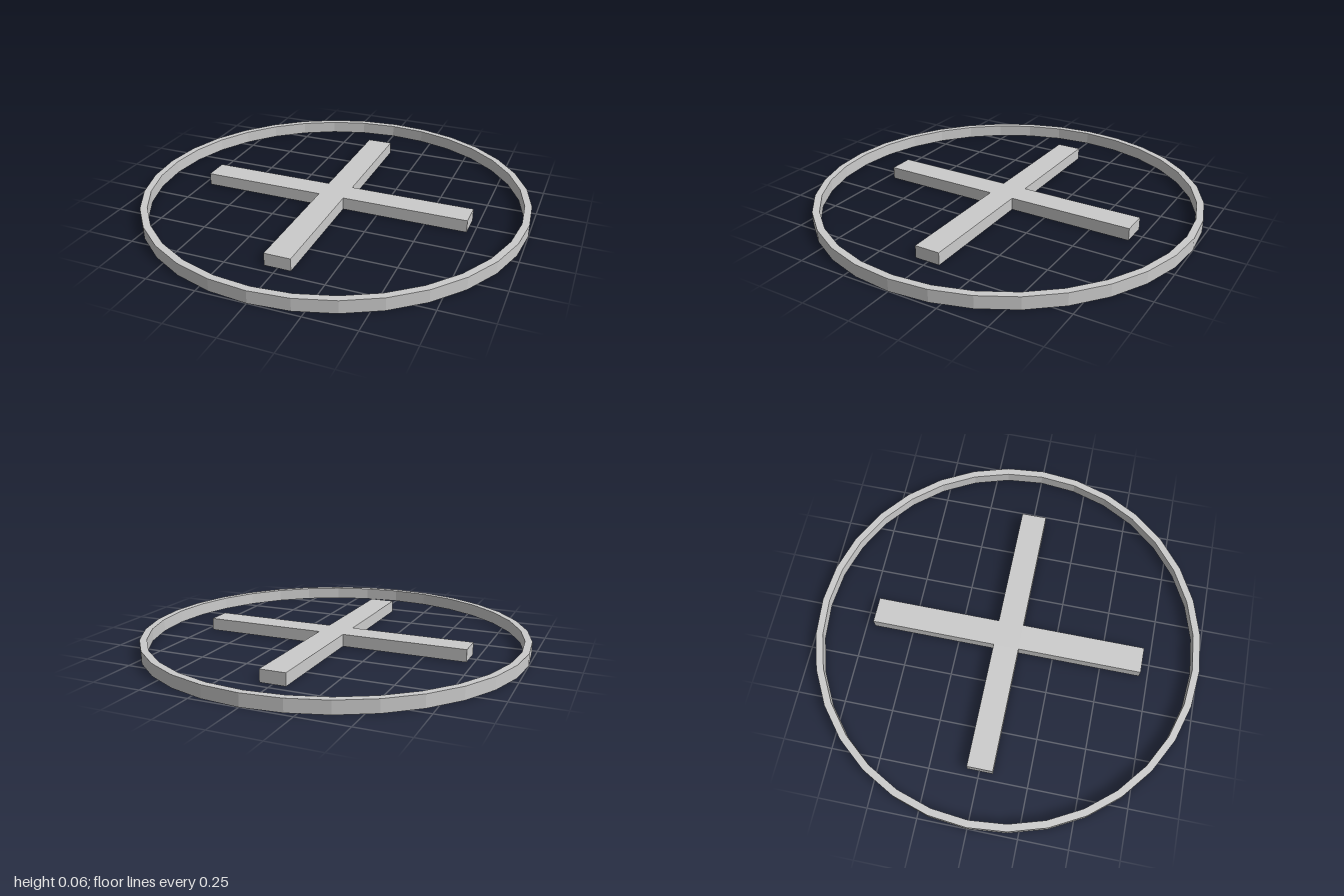
import * as THREE from 'three';

const HEIGHT = 0.064;
const material = new THREE.MeshStandardMaterial({ color: 0xcccccc, flatShading: true });

// Regular polygon outline with a corner on each axis
function polygon(radius, sides) {
  return Array.from({ length: sides }, (_, i) => {
    const a = (i / sides) * Math.PI * 2;
    return new THREE.Vector2(Math.cos(a) * radius, Math.sin(a) * radius);
  });
}

// Flat plate lying on the ground, extruded upward
function plate(name, shape) {
  const geometry = new THREE.ExtrudeGeometry(shape, { depth: HEIGHT, bevelEnabled: false });
  geometry.rotateX(-Math.PI / 2);
  const mesh = new THREE.Mesh(geometry, material);
  mesh.name = name;
  return mesh;
}

export function createModel() {
  const model = new THREE.Group();
  model.name = 'ringAndCross';

  // Thin 32-sided outer ring
  const ringShape = new THREE.Shape(polygon(1, 32));
  ringShape.holes.push(new THREE.Path(polygon(0.964, 32)));
  model.add(plate('outerRing', ringShape));

  // Four-armed cross: half-width w, arm reach along x and z
  const w = 0.067, reachX = 0.714, reachZ = 0.706;
  const front = -0.069, back = 0.062;
  const crossShape = new THREE.Shape([
    [w, front], [reachX, front], [reachX, back], [w, back],
    [w, reachZ], [-w, reachZ], [-w, back], [-reachX, back],
    [-reachX, front], [-w, front], [-w, -reachZ], [w, -reachZ],
  ].map(([x, y]) => new THREE.Vector2(x, y)));
  model.add(plate('cross', crossShape));

  return model;
}
